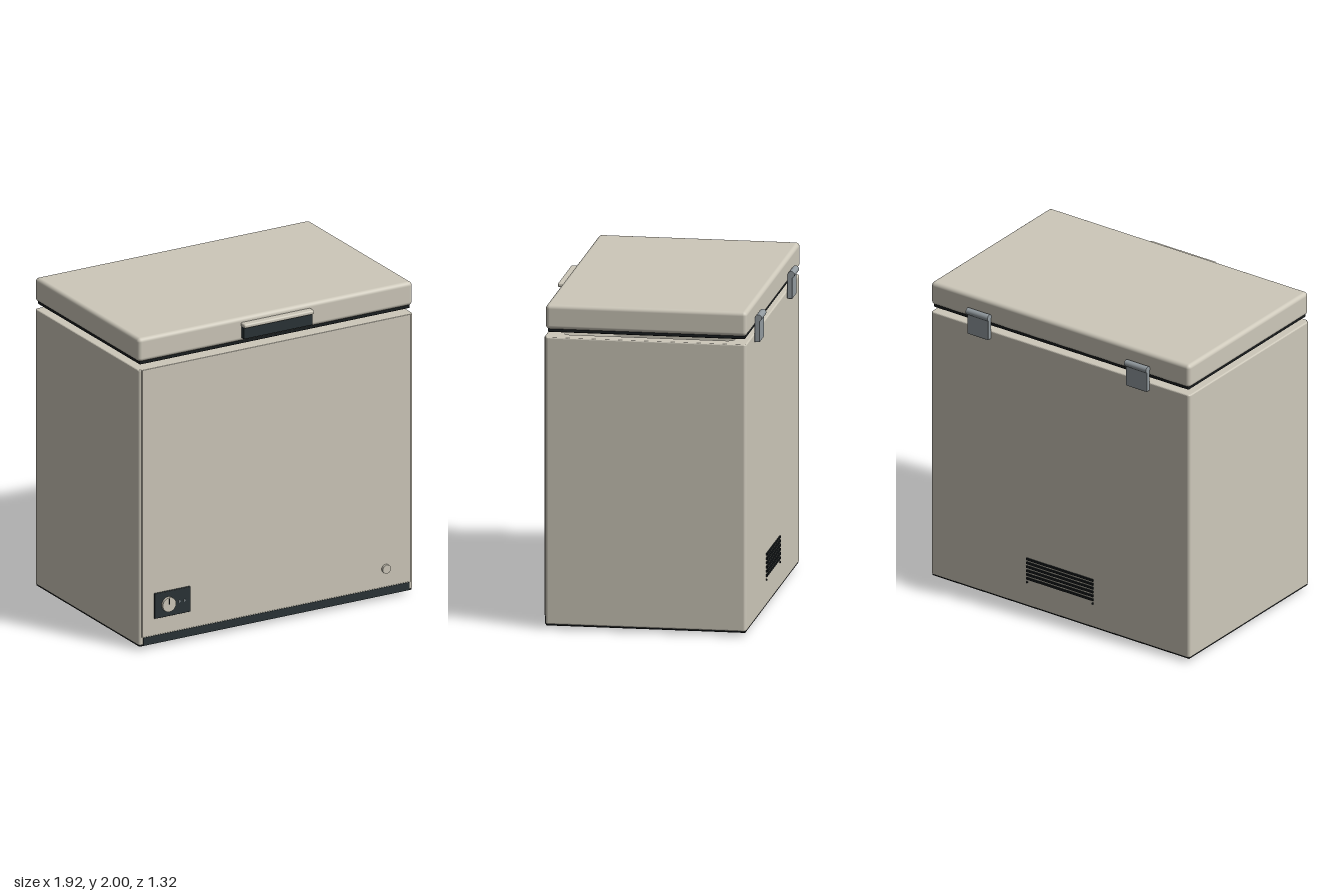
import * as THREE from 'three';
import { RoundedBoxGeometry } from 'three/addons/geometries/RoundedBoxGeometry.js';

const mat = (color) => new THREE.MeshStandardMaterial({ color });

export function createModel() {
  const group = new THREE.Group();
  const enamel = mat(0xcdc8ba), dark = mat(0x2a3336), black = mat(0x191d1f), steel = mat(0x939ba0);

  const add = (name, geometry, material, x = 0, y = 0, z = 0) => {
    const mesh = new THREE.Mesh(geometry, material);
    mesh.name = name;
    mesh.position.set(x, y, z);
    group.add(mesh);
    return mesh;
  };
  // Box given by its limits, with optional rounded edges
  const block = (name, material, [x0, x1], [y0, y1], [z0, z1], r = 0) => {
    const size = [x1 - x0, y1 - y0, z1 - z0];
    const geometry = r ? new RoundedBoxGeometry(...size, 3, r) : new THREE.BoxGeometry(...size);
    return add(name, geometry, material, (x0 + x1) / 2, (y0 + y1) / 2, (z0 + z1) / 2);
  };
  // Round button facing front or back
  const disc = (name, material, r, depth, x, y, z, segments = 32) =>
    add(name, new THREE.CylinderGeometry(r, r, depth, segments).rotateX(Math.PI / 2), material, x, y, z);

  // Rectangle with rounded corners, used for the tub outline and its opening
  const outline = (Type, w, d, r) => {
    const p = new Type();
    p.moveTo(w - r, -d);
    p.absarc(w - r, -d + r, r, -Math.PI / 2, 0);
    p.absarc(w - r, d - r, r, 0, Math.PI / 2);
    p.absarc(-w + r, d - r, r, Math.PI / 2, Math.PI);
    p.absarc(-w + r, -d + r, r, Math.PI, Math.PI * 1.5);
    p.closePath();
    return p;
  };

  // Cabinet: hollow tub with softened rims
  const bevel = 0.008;
  const tub = outline(THREE.Shape, 0.96 - bevel, 0.614 - bevel, 0.012);
  tub.holes.push(outline(THREE.Path, 0.87, 0.525, 0.05));
  const tubGeometry = new THREE.ExtrudeGeometry(tub, {
    depth: 1.77 - 2 * bevel, bevelEnabled: true, bevelSize: bevel,
    bevelThickness: bevel, bevelSegments: 3, curveSegments: 6,
  });
  tubGeometry.rotateX(-Math.PI / 2);
  add('cabinet', tubGeometry, enamel, 0, 0.03 + bevel, 0);
  block('cabinetFloor', enamel, [-0.88, 0.88], [0.04, 0.12], [-0.535, 0.535]);
  block('frontPanel', enamel, [-0.94, 0.94], [0.08, 1.8], [0.59, 0.62], 0.004);

  // Base, kick plate and feet
  block('base', black, [-0.953, 0.953], [0.02, 0.045], [-0.608, 0.608], 0.004);
  block('kickPlate', dark, [-0.93, 0.93], [0.025, 0.076], [0.58, 0.617]);
  for (const x of [-0.735, 0.735])
    for (const z of [-0.435, 0.435])
      add('foot', new THREE.CylinderGeometry(0.03, 0.03, 0.03, 24), black, x, 0.015, z);

  // Lid with its seal
  block('lid', enamel, [-0.96, 0.96], [1.848, 2], [-0.617, 0.611], 0.025);
  block('lidSeal', black, [-0.945, 0.945], [1.83, 1.86], [-0.604, 0.6], 0.006);

  // Lid handle: dark grip below a light lip
  block('handleGrip', dark, [-0.24, 0.24], [1.87, 1.95], [0.58, 0.64], 0.004);
  block('handleLip', enamel, [-0.245, 0.245], [1.944, 1.97], [0.58, 0.658], 0.01);

  // Hinges at the back
  for (const x of [-0.588, 0.588]) {
    block('hingePlate', steel, [x - 0.078, x + 0.078], [1.75, 1.9], [-0.647, -0.614], 0.005);
    add('hingeKnuckle', new THREE.CylinderGeometry(0.021, 0.021, 0.162, 24).rotateZ(Math.PI / 2),
      steel, x, 1.9, -0.639);
  }

  // Control panel: knob, pointer and indicator lamps
  block('controlPanel', dark, [-0.857, -0.607], [0.188, 0.35], [0.61, 0.63], 0.003);
  disc('knob', enamel, 0.046, 0.03, -0.765, 0.268, 0.633);
  block('knobPointer', black, [-0.768, -0.762], [0.27, 0.308], [0.64, 0.651]);
  for (const x of [-0.685, -0.65]) disc('lamp', steel, 0.007, 0.01, x, 0.27, 0.628, 16);

  // Drain plug
  disc('drainPlug', enamel, 0.028, 0.03, 0.762, 0.197, 0.621);

  // Rear vent slots and screws
  for (let i = 0; i < 6; i++) {
    const y = 0.344 - i * 0.026;
    block('ventSlot', black, [-0.247, 0.247], [y - 0.007, y + 0.007], [-0.622, -0.6]);
  }
  for (const x of [-0.243, 0.243]) disc('ventScrew', black, 0.006, 0.02, x, 0.188, -0.612, 12);

  return group;
}
